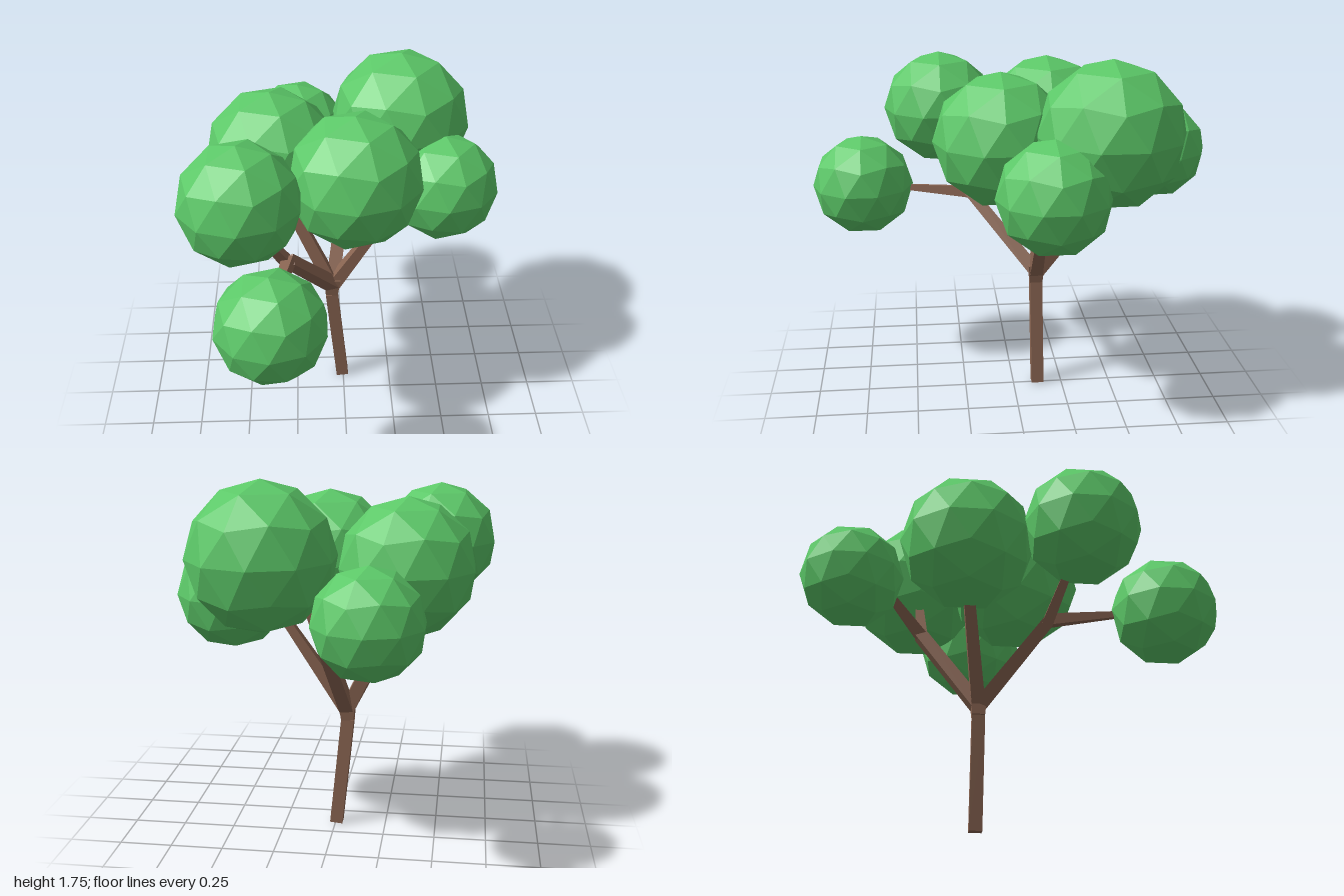
import * as THREE from 'three';

const bark = new THREE.MeshStandardMaterial({ color: 0x8a6552, flatShading: true });
const leaf = new THREE.MeshStandardMaterial({ color: 0x5cc868, flatShading: true });

// Square-section tapered limb through points [x, y, z, halfWidth]
function limb(name, points) {
  const group = new THREE.Group();
  group.name = name;
  for (let i = 0; i < points.length - 1; i++) {
    const a = new THREE.Vector3(...points[i]);
    const b = new THREE.Vector3(...points[i + 1]);
    const dir = b.clone().sub(a);
    const geo = new THREE.CylinderGeometry(
      points[i + 1][3] * Math.SQRT2, points[i][3] * Math.SQRT2, dir.length(), 4);
    geo.rotateY(Math.PI / 4);
    const mesh = new THREE.Mesh(geo, bark);
    mesh.name = name + 'Segment';
    mesh.position.copy(a).add(b).multiplyScalar(0.5);
    mesh.quaternion.setFromUnitVectors(new THREE.Vector3(0, 1, 0), dir.normalize());
    group.add(mesh);
  }
  return group;
}

export function createModel() {
  const tree = new THREE.Group();
  tree.name = 'tree';

  // Trunk, flaring into the fork
  tree.add(limb('trunk', [
    [-0.005, 0.003, -0.125, 0.031], [-0.06, 0.55, -0.12, 0.031], [-0.055, 0.645, -0.12, 0.04]]));

  // Main branches and their side shoots
  const fork = [-0.055, 0.6, -0.12, 0.033];
  const frontJoint = [-0.27, 0.97, 0.2, 0.028];
  const backJoint = [0.02, 1.01, -0.41, 0.03];
  tree.add(
    limb('frontBranch', [fork, frontJoint, [-0.33, 0.99, 0.55, 0.013]]),
    limb('frontUpperShoot', [[-0.27, 0.95, 0.19, 0.026], [-0.41, 1.2, 0.29, 0.018]]),
    limb('backBranch', [fork, backJoint, [-0.17, 1.2, -0.62, 0.016]]),
    limb('backUpperShoot', [[0.02, 0.99, -0.4, 0.027], [0.12, 1.3, -0.43, 0.018]]),
    limb('rightBranch', [fork, [-0.33, 1.18, -0.2, 0.025]]),
    limb('leftBranch', [fork, [0.32, 1.16, -0.13, 0.017]]));

  // Foliage: faceted balls with a vertex at each pole, [x, y, z, radius]
  const ball = new THREE.IcosahedronGeometry(1, 1);
  ball.rotateZ(-Math.atan(2 / (1 + Math.sqrt(5))));
  ball.computeVertexNormals();
  const clumps = [
    [-0.22, 1.19, -0.75, 0.25],
    [0.295, 1.4, -0.42, 0.348],
    [-0.345, 1.33, -0.2, 0.325],
    [0.05, 1.325, 0.065, 0.327],
    [0.495, 1.172, -0.135, 0.267],
    [-0.475, 1.375, 0.34, 0.285],
    [-0.34, 1.005, 0.745, 0.255],
  ];
  for (const [x, y, z, r] of clumps) {
    const mesh = new THREE.Mesh(ball, leaf);
    mesh.name = 'foliage';
    mesh.position.set(x, y, z);
    mesh.scale.setScalar(r);
    tree.add(mesh);
  }
  return tree;
}
